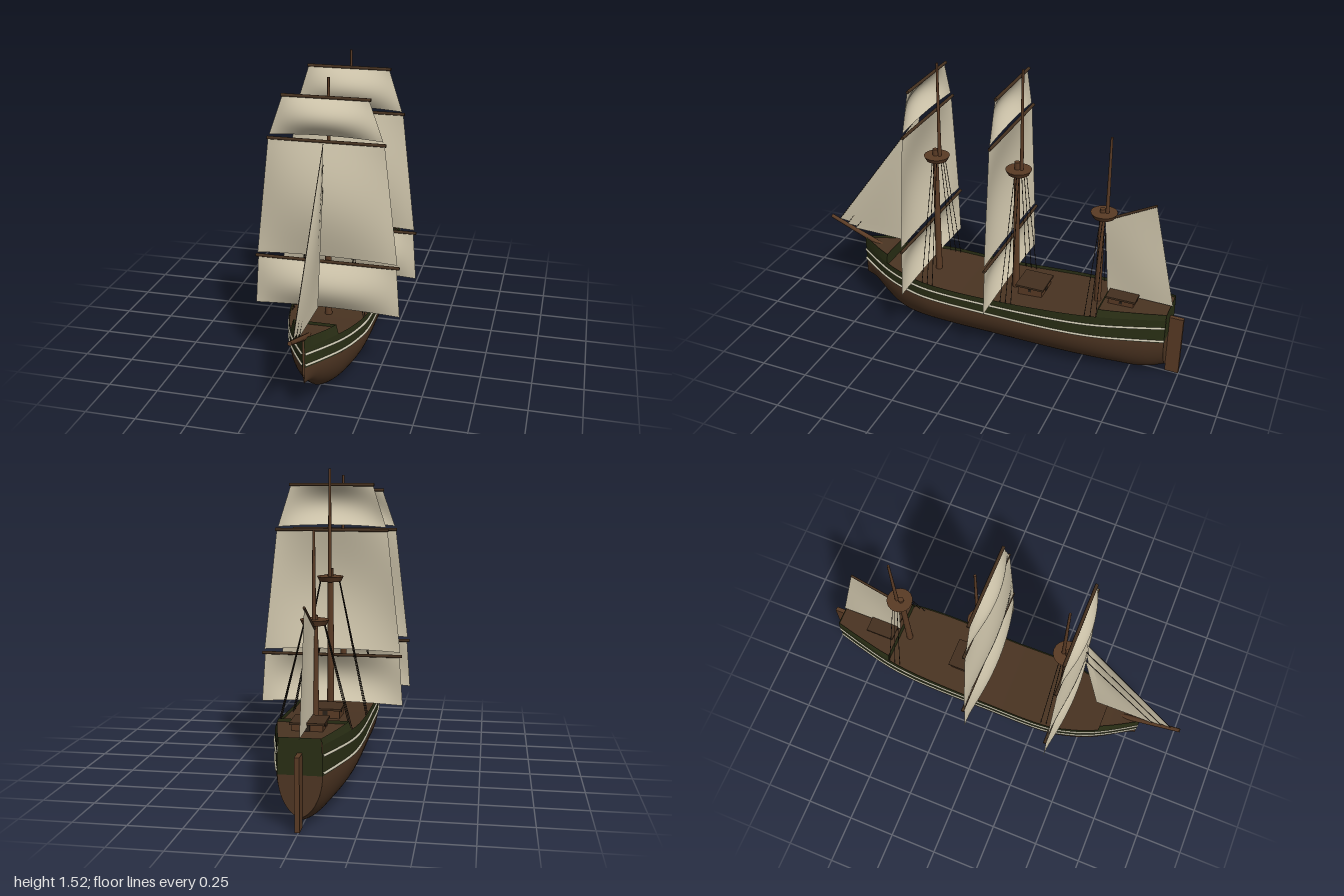
import * as THREE from 'three';

const V = (x, y, z) => new THREE.Vector3(x, y, z);
const mat = (name, color, side = THREE.FrontSide) => {
  const m = new THREE.MeshStandardMaterial({ color, side });
  m.name = name;
  return m;
};

// Smooth interpolation through [z, value] pairs sorted by z
function smooth(pts) {
  const n = pts.length;
  const slope = i => {
    const a = pts[Math.max(i - 1, 0)], b = pts[Math.min(i + 1, n - 1)];
    return (b[1] - a[1]) / (b[0] - a[0]);
  };
  return z => {
    let i = 0;
    while (i < n - 2 && z > pts[i + 1][0]) i++;
    const [z0, a] = pts[i], [z1, b] = pts[i + 1], h = z1 - z0;
    const t = (z - z0) / h, t2 = t * t, t3 = t2 * t;
    return (2 * t3 - 3 * t2 + 1) * a + (t3 - 2 * t2 + t) * h * slope(i)
      + (3 * t2 - 2 * t3) * b + (t3 - t2) * h * slope(i + 1);
  };
}

// Grid surface from fn(u, v) -> Vector3, u and v in 0..1
function grid(nu, nv, fn) {
  const pos = [], idx = [];
  for (let i = 0; i <= nu; i++)
    for (let j = 0; j <= nv; j++) pos.push(...fn(i / nu, j / nv).toArray());
  for (let i = 0; i < nu; i++)
    for (let j = 0; j < nv; j++) {
      const a = i * (nv + 1) + j, b = a + nv + 1;
      idx.push(a, b, a + 1, b, b + 1, a + 1);
    }
  const g = new THREE.BufferGeometry();
  g.setAttribute('position', new THREE.Float32BufferAttribute(pos, 3));
  g.setIndex(idx);
  g.computeVertexNormals();
  return g;
}

// Ship lines along z
const STERN = -0.93, BOW = 0.79;
const width = smooth([[-0.93, 0.098], [-0.8, 0.132], [-0.6, 0.176], [-0.4, 0.194], [0, 0.196],
  [0.33, 0.193], [0.5, 0.155], [0.6, 0.115], [0.7, 0.06], [0.79, 0.004]]);
const keel = smooth([[-0.93, 0.05], [-0.86, 0.018], [-0.78, 0.001], [-0.7, 0], [0.4, 0], [0.48, 0.004],
  [0.56, 0.03], [0.65, 0.09], [0.72, 0.145], [0.79, 0.17]]);
const wale = smooth([[-0.93, 0.24], [-0.4, 0.226], [0.1, 0.223], [0.5, 0.232], [0.79, 0.25]]);
const sheer = smooth([[-0.93, 0.375], [-0.57, 0.357], [0, 0.321], [0.35, 0.325], [0.6, 0.341], [0.79, 0.348]]);
const raised = smooth([[-0.93, 0.405], [-0.6, 0.397], [0.6, 0.388], [0.79, 0.402]]);
const side = (z, y) => width(z) * (1 - 2 * Math.max(0, y - sheer(z)));
const mix = THREE.MathUtils.lerp;

export function createModel() {
  const ship = new THREE.Group();
  ship.name = 'sailingShip';
  const D = THREE.DoubleSide;
  const hullBrown = mat('hullBrown', 0x4f3623, D), green = mat('darkGreen', 0x2a2f15, D);
  const cream = mat('stripeCream', 0xc9c4ae), deckBrown = mat('deckBrown', 0x4a3422, D);
  const mastBrown = mat('mastBrown', 0x5a3b25), yardBrown = mat('yardBrown', 0x44301f);
  const sailCloth = mat('sailCloth', 0xd2c8ae, D), rope = mat('ropeDark', 0x2b2219);

  const add = (name, geo, material, parent = ship) => {
    const m = new THREE.Mesh(geo, material);
    m.name = name;
    parent.add(m);
    return m;
  };
  const rod = (name, a, b, r0, r1, material, seg = 10) => {
    const d = b.clone().sub(a);
    const m = add(name, new THREE.CylinderGeometry(r1, r0, d.length(), seg), material);
    m.position.copy(a).addScaledVector(d, 0.5);
    m.quaternion.setFromUnitVectors(V(0, 1, 0), d.normalize());
    return m;
  };
  const box = (name, w, h, d, x, y, z, material) => {
    const m = add(name, new THREE.BoxGeometry(w, h, d), material);
    m.position.set(x, y, z);
    return m;
  };

  // Rounded lower hull with a slight keel edge
  const hullPoint = (z, v) => {
    const a = Math.abs(v) * Math.PI / 2;
    const y = mix(keel(z), wale(z), 0.87 * (1 - Math.cos(a)) + 0.13 * Math.sin(a));
    return V(Math.sign(v) * width(z) * Math.sin(a), y, z);
  };
  add('lowerHull', grid(90, 32, (u, v) => hullPoint(mix(STERN, BOW, u), 1 - 2 * v)), hullBrown);
  add('lowerTransom', grid(14, 2, (u, v) => {
    const p = hullPoint(STERN, u);
    p.x *= 1 - 2 * v;
    return p;
  }), hullBrown);

  // Green topsides, raised ends and their bulkheads
  const across = (z, lo, hi) => grid(2, 2, (u, v) => {
    const y = mix(lo, hi, v);
    return V(side(z, y) * (2 * u - 1), y, z);
  });
  const deck = (name, z0, z1, yFn) => add(name, grid(40, 4, (u, v) => {
    const z = mix(z0, z1, u), y = yFn(z);
    return V((side(z, y) - 0.001) * (2 * v - 1), y, z);
  }), deckBrown);
  for (const s of [1, -1]) {
    const wall = (name, z0, z1, lo, hi) => add(name, grid(50, 4, (u, v) => {
      const z = mix(z0, z1, u), y = mix(lo(z), hi(z), v);
      return V(s * side(z, y), y, z);
    }), green);
    wall('topside', STERN, BOW, wale, sheer);
    wall('poopBulwark', STERN, -0.6, sheer, raised);
    wall('forecastleBulwark', 0.6, BOW, sheer, raised);
    // Cream rubbing strakes
    const strakes = [
      smooth([[-0.93, 0.25], [-0.5, 0.236], [0, 0.23], [0.45, 0.24], [0.79, 0.262]]),
      smooth([[-0.93, 0.328], [-0.5, 0.302], [0, 0.284], [0.45, 0.293], [0.79, 0.318]])];
    for (const line of strakes) {
      const pts = [];
      for (let i = 0; i <= 30; i++) {
        const z = mix(STERN, BOW, i / 30);
        pts.push(V(s * (width(z) + 0.001), line(z), z));
      }
      add('hullStripe', new THREE.TubeGeometry(new THREE.CatmullRomCurve3(pts), 80, 0.0065, 6), cream);
    }
  }
  add('upperTransom', across(STERN, wale(STERN), raised(STERN)), green);
  add('poopBulkhead', across(-0.6, sheer(-0.6) - 0.03, raised(-0.6)), green);
  add('forecastleBulkhead', across(0.6, sheer(0.6) - 0.03, raised(0.6)), green);
  deck('mainDeck', -0.6, 0.6, z => sheer(z) - 0.018);
  deck('poopDeck', STERN, -0.6, z => raised(z) - 0.015);
  deck('forecastleDeck', 0.6, BOW, z => raised(z) - 0.015);

  // Rudder and bowsprit
  box('rudder', 0.022, 0.328, 0.07, 0, 0.174, -0.965, mastBrown);
  rod('bowsprit', V(0, 0.365, 0.69), V(0, 0.485, 0.996), 0.014, 0.01, mastBrown);

  // Deckhouses with overhanging roofs, doors and windows
  for (const [z, base, top] of [[-0.208, 0.3, 0.368], [-0.69, 0.36, 0.424]]) {
    box('deckhouse', 0.14, top - base, 0.13, 0, (top + base) / 2 - 0.004, z, mastBrown);
    box('deckhouseRoof', 0.158, 0.01, 0.152, 0, top - 0.005, z, yardBrown);
    for (const s of [1, -1]) {
      box('deckhouseWindow', 0.004, 0.014, 0.016, s * 0.071, top - 0.024, z, rope);
      box('deckhouseDoor', 0.024, 0.034, 0.004, 0, top - 0.028, z + s * 0.066, rope);
    }
  }

  // Masts: [lower mast z, lower top, platform y, topmast top]
  const masts = [[0.343, 1.02, 0.975, 1.485], [-0.104, 1.035, 0.985, 1.52], [-0.551, 0.87, 0.84, 1.255]];
  for (const [z, lowTop, py, top] of masts) {
    const foot = sheer(z) - 0.04;
    rod('lowerMast', V(0, foot, z), V(0, lowTop, z), 0.018, 0.014, mastBrown, 14);
    rod('topmast', V(0, py - 0.02, z - 0.024), V(0, top, z - 0.024), 0.01, 0.006, mastBrown);
    const disc = add('mastPlatform', new THREE.CylinderGeometry(0.066, 0.054, 0.024, 20), mastBrown);
    disc.position.set(0, py, z - 0.008);
    for (const s of [1, -1])
      for (const k of [0.015, -0.015, -0.045])
        rod('shroud', V(s * 0.045, py, z - 0.01 + k * 0.4),
          V(s * (width(z) - 0.012), sheer(z) - 0.015, z + k), 0.0018, 0.0018, rope, 5);
  }

  // Square sails: [yard y, yard half, top half, foot y, foot half]
  const squareRig = (z, rows) => rows.forEach(([y, yardHalf, topHalf, foot, footHalf]) => {
    rod('yard', V(-yardHalf, y, z), V(yardHalf, y, z), 0.008, 0.008, yardBrown);
    const belly = 0.047;
    add('squareSail', grid(20, 20, (u, v) => {
      const x = 2 * u - 1;
      const drop = 0.012 * (1 - x * x) * v;
      return V(x * mix(topHalf, footHalf, v), mix(y - 0.006, foot, v) + drop,
        z + 0.005 + belly * Math.sin(Math.PI * v) * (1 - x * x));
    }), sailCloth);
  });
  squareRig(0.374, [[0.597, 0.355, 0.342, 0.345, 0.36], [1.197, 0.282, 0.277, 0.615, 0.345],
    [1.405, 0.21, 0.205, 1.215, 0.27]]);
  squareRig(-0.077, [[0.597, 0.355, 0.342, 0.345, 0.36], [1.222, 0.282, 0.277, 0.615, 0.345],
    [1.443, 0.21, 0.205, 1.235, 0.27]]);

  // Jibs fanned from the bowsprit, each slightly curved
  const jibs = [[V(0, 1.2, 0.422), V(0, 0.478, 0.945), V(0, 0.432, 0.54)],
    [V(0, 1.1, 0.425), V(0, 0.455, 0.9), V(0, 0.432, 0.54)],
    [V(0, 0.99, 0.43), V(0, 0.438, 0.85), V(0, 0.432, 0.54)]];
  jibs.forEach(([head, tack, clew], i) => {
    add('jib', grid(12, 8, (u, v) => {
      const p = head.clone().lerp(tack.clone().lerp(clew, v), u);
      p.x += (0.012 - i * 0.004) * Math.sin(Math.PI * u) * Math.sin(Math.PI * v);
      return p;
    }), sailCloth);
    rod('jibStay', head, tack, 0.0016, 0.0016, rope, 5);
    rod('jibTackLine', tack, V(0, 0.47 - i * 0.018, 0.958 - i * 0.046), 0.0016, 0.0016, rope, 5);
  });

  // Gaff sail on the aft mast
  const throat = V(0, 0.812, -0.567), peak = V(0, 0.942, -0.815);
  const tackA = V(0, 0.405, -0.6), clewA = V(0, 0.4, -0.938);
  add('gaffSail', grid(12, 12, (u, v) => {
    const p = throat.clone().lerp(peak, u).lerp(tackA.clone().lerp(clewA, u), v);
    p.x += 0.01 * Math.sin(Math.PI * u) * Math.sin(Math.PI * v);
    return p;
  }), sailCloth);
  rod('gaff', throat, peak, 0.007, 0.006, yardBrown);

  return ship;
}
